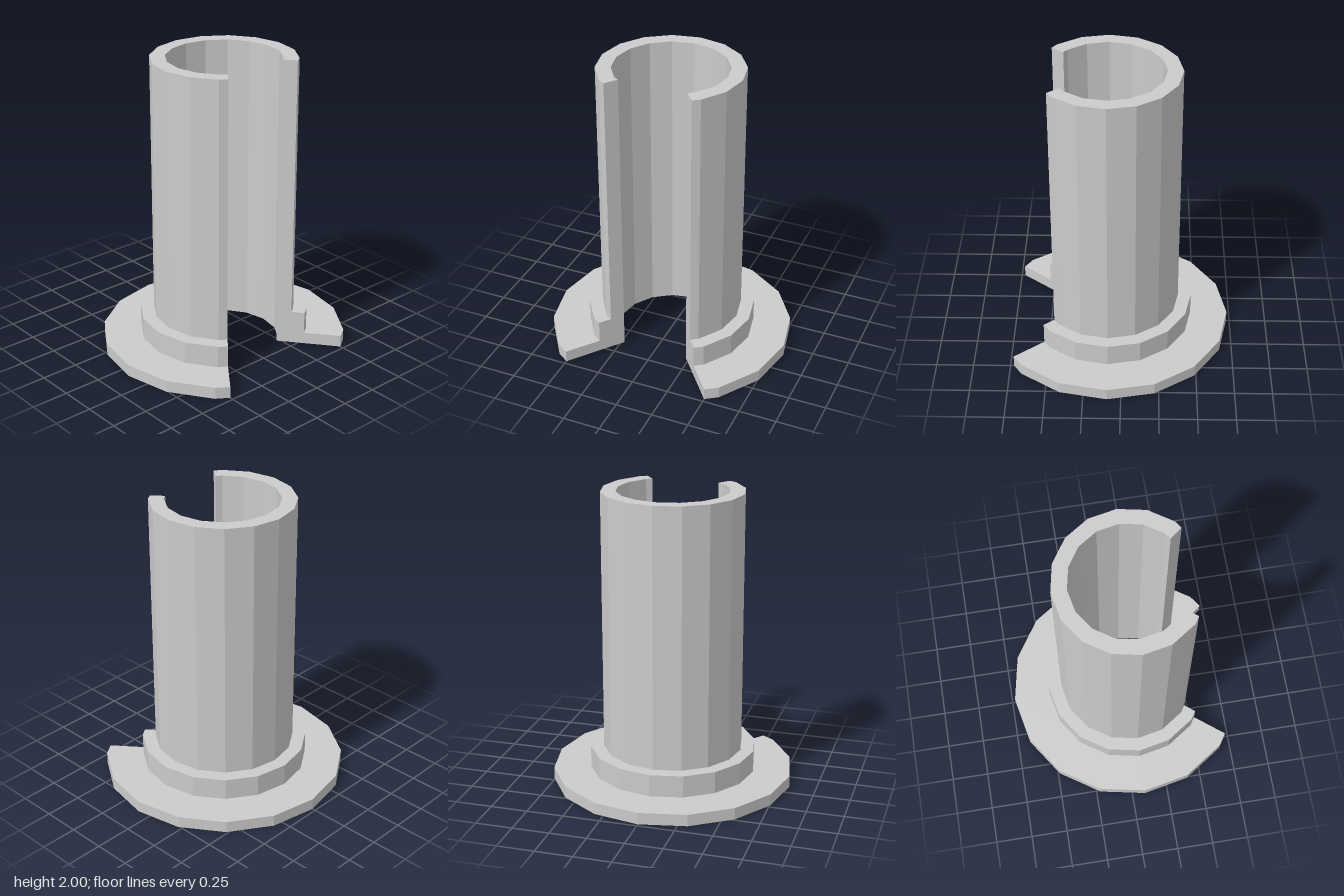
import * as THREE from 'three';

const SIDES = 16;
const STEP = (Math.PI * 2) / SIDES;
const CUT = THREE.MathUtils.degToRad(38.2); // half angle of the slot, facing +x
const CENTRE_X = 0.092;

// Wall section as (radius, height), counter-clockwise: bore, flange, collar, tube
const PROFILE = [
  [0.375, 0], [0.82, 0], [0.82, 0.08], [0.565, 0.08],
  [0.565, 0.23], [0.475, 0.23], [0.475, 2], [0.375, 2],
].map(([r, y]) => new THREE.Vector2(r, y));

// Sweeps the section round the slotted 16-sided ring and closes both slot faces
function slottedRing(profile) {
  const angles = [CUT];
  for (let i = 2; i <= SIDES - 2; i++) angles.push(i * STEP);
  angles.push(Math.PI * 2 - CUT);

  // Slot edges lie on the flat sides, so their radius shrinks to the chord
  const rings = angles.map((a) => {
    const fromMiddle = (a % STEP) - STEP / 2;
    const scale = Math.cos(STEP / 2) / Math.cos(fromMiddle);
    return profile.map((p) => new THREE.Vector3(
      p.x * scale * Math.cos(a), p.y, p.x * scale * Math.sin(a)));
  });

  const points = [];
  const n = profile.length;
  for (let k = 0; k < rings.length - 1; k++) {
    for (let i = 0; i < n; i++) {
      const j = (i + 1) % n;
      const a = rings[k][i], b = rings[k][j], c = rings[k + 1][j], d = rings[k + 1][i];
      points.push(a, b, d, b, c, d);
    }
  }

  // Slot faces
  const first = rings[0], last = rings[rings.length - 1];
  for (const [a, b, c] of THREE.ShapeUtils.triangulateShape(profile, [])) {
    points.push(first[a], first[c], first[b], last[a], last[b], last[c]);
  }

  const geometry = new THREE.BufferGeometry().setFromPoints(points);
  geometry.computeVertexNormals();
  return geometry;
}

export function createModel() {
  const group = new THREE.Group();
  group.name = 'slottedFlangedSleeve';
  const material = new THREE.MeshStandardMaterial({ color: 0xcccccc, flatShading: true });
  const sleeve = new THREE.Mesh(slottedRing(PROFILE), material);
  sleeve.name = 'sleeve';
  sleeve.position.x = CENTRE_X;
  group.add(sleeve);
  return group;
}
